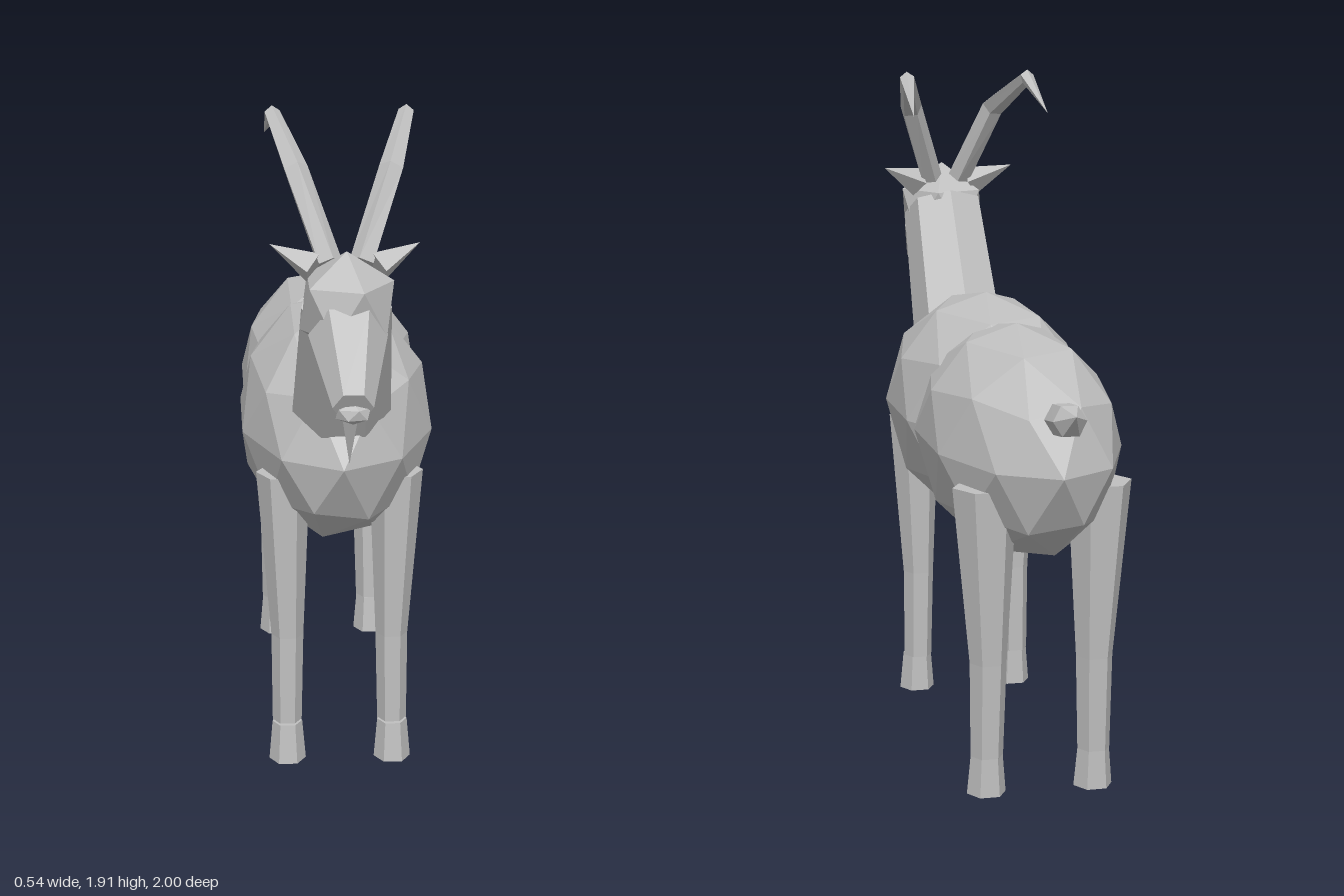
import * as THREE from 'three';

const hide = new THREE.MeshStandardMaterial({ color: 0xc0c0c0, flatShading: true });
hide.name = 'pale grey';

const V = (a) => new THREE.Vector3(a[0], a[1], a[2]);

// Faceted ellipsoid with a vertex on top and one of its upper ring towards +x
function blob(name, centre, radii, detail) {
  const g = new THREE.IcosahedronGeometry(1, detail);
  g.rotateX(-Math.atan((1 + Math.sqrt(5)) / 2));
  g.rotateY(Math.PI / 2);
  g.scale(...radii);
  g.translate(...centre);
  g.computeVertexNormals();
  const m = new THREE.Mesh(g, hide);
  m.name = name;
  return m;
}

// Closed loft through rings [x, y, z, radius]; corner 0 of each ring points along ref
function loft(name, rings, sides, ref, dir) {
  const centres = rings.map(V);
  const loops = rings.map((ring, k) => {
    const t = dir ? V(dir).normalize() : new THREE.Vector3();
    if (!dir) {
      if (k > 0) t.add(centres[k].clone().sub(centres[k - 1]).normalize());
      if (k < rings.length - 1) t.add(centres[k + 1].clone().sub(centres[k]).normalize());
      t.normalize();
    }
    const u = V(ref).addScaledVector(t, -V(ref).dot(t)).normalize();
    const v = t.clone().cross(u);
    return Array.from({ length: sides }, (_, i) => {
      const a = (i / sides) * Math.PI * 2;
      return centres[k].clone()
        .addScaledVector(u, Math.cos(a) * ring[3])
        .addScaledVector(v, Math.sin(a) * ring[3]);
    });
  });
  const pts = [];
  const last = rings.length - 1;
  for (let i = 0; i < sides; i++) {
    const j = (i + 1) % sides;
    for (let k = 0; k < last; k++) {
      const a = loops[k], b = loops[k + 1];
      if (rings[k][3] > 0) pts.push(a[i], a[j], b[j]);
      if (rings[k + 1][3] > 0) pts.push(a[i], b[j], b[i]);
      else if (rings[k][3] > 0) pts.splice(-1, 1, b[i]);
    }
    if (rings[0][3] > 0) pts.push(centres[0], loops[0][j], loops[0][i]);
    if (rings[last][3] > 0) pts.push(centres[last], loops[last][i], loops[last][j]);
  }
  const g = new THREE.BufferGeometry().setFromPoints(pts);
  g.computeVertexNormals();
  const m = new THREE.Mesh(g, hide);
  m.name = name;
  return m;
}

export function createModel() {
  const goat = new THREE.Group();
  goat.name = 'goat';

  // Body
  goat.add(
    blob('chest', [0, 0.952, 0.04], [0.285, 0.338, 0.52], 1),
    blob('hindquarters', [0, 0.938, -0.34], [0.273, 0.325, 0.54], 1),
    blob('belly', [0, 0.665, -0.15], [0.06, 0.05, 0.08], 0)
  );

  // Neck, head and muzzle
  goat.add(
    loft('neck', [[0, 1.103, 0.406, 0.14], [0, 1.46, 0.642, 0.123]], 7, [0, 0.56, -0.83]),
    blob('head', [0, 1.455, 0.67], [0.14, 0.145, 0.155], 0),
    loft('muzzle', [[0, 1.395, 0.74, 0.105], [0, 1.267, 0.973, 0.053]], 6, [1, 0, 0]),
    blob('nose', [0, 1.25, 0.965], [0.05, 0.03, 0.032], 0),
    loft('beard', [[0, 1.29, 0.853, 0.036], [0, 1.06, 0.812, 0]], 5, [0, 0, 1])
  );

  // Tail
  goat.add(loft('tail',
    [[0, 1.095, -0.845, 0.047], [0, 1.108, -0.936, 0.046], [0, 1.132, -1, 0]], 6, [1, 0, 0]));

  // Paired parts
  for (const [side, s] of [['left', 1], ['right', -1]]) {
    goat.add(
      loft(side + 'Horn', [
        [s * 0.045, 1.56, 0.625, 0.035],
        [s * 0.128, 1.785, 0.512, 0.034],
        [s * 0.182, 1.892, 0.295, 0.022],
        [s * 0.2, 1.8, 0.107, 0]
      ], 5, [0, 1, 0.3]),
      loft(side + 'Ear', [
        [s * 0.085, 1.545, 0.63, 0.045],
        [s * 0.2, 1.598, 0.575, 0]
      ], 4, [0, 1, 0]),
      loft(side + 'FrontLeg', [
        [s * 0.16, 0.875, 0.33, 0.076],
        [s * 0.15, 0.38, 0.328, 0.046],
        [s * 0.152, 0.11, 0.332, 0.042]
      ], 6, [1, 0, 0], [0, -1, 0]),
      loft(side + 'FrontHoof', [
        [s * 0.152, 0.115, 0.345, 0.043],
        [s * 0.152, 0, 0.35, 0.053]
      ], 6, [1, 0, 0], [0, -1, 0]),
      loft(side + 'HindLeg', [
        [s * 0.16, 0.875, -0.645, 0.09],
        [s * 0.15, 0.38, -0.64, 0.052],
        [s * 0.152, 0.11, -0.632, 0.046]
      ], 6, [1, 0, 0], [0, -1, 0]),
      loft(side + 'HindHoof', [
        [s * 0.152, 0.115, -0.63, 0.045],
        [s * 0.152, 0, -0.625, 0.055]
      ], 6, [1, 0, 0], [0, -1, 0])
    );
  }
  return goat;
}
